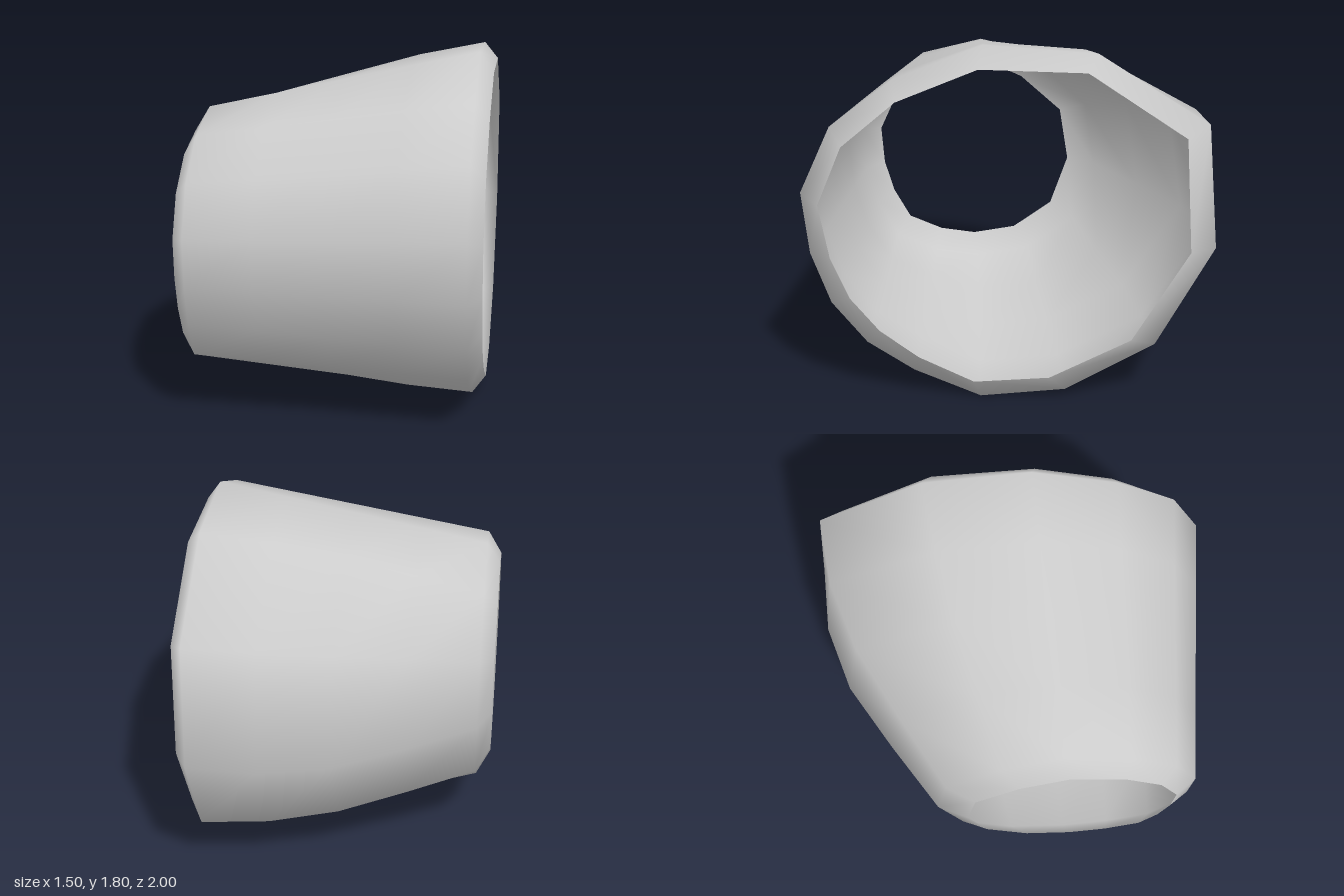
import * as THREE from 'three';

// Cross-sections as [z, y] points, ordered from the top round the front
const wideRim = [[0.14, 1.7], [0.53, 1.54], [0.79, 1.32], [0.91, 1.03], [0.86, 0.76], [0.77, 0.55], [0.63, 0.38],
  [0.44, 0.24], [0.17, 0.11], [-0.2, 0.135], [-0.6, 0.34], [-0.875, 0.8], [-0.84, 1.37], [-0.37, 1.685]];
const wideBody = [[0.12, 1.8], [0.55, 1.63], [0.85, 1.4], [1, 1.07], [0.965, 0.76], [0.87, 0.5], [0.7, 0.29],
  [0.47, 0.14], [0.14, 0], [-0.28, 0.04], [-0.72, 0.29], [-1, 0.8], [-0.95, 1.42], [-0.42, 1.76]];
const narrowRim = [[0.21, 1.38], [0.47, 1.315], [0.66, 1.165], [0.755, 0.96], [0.74, 0.76], [0.69, 0.59], [0.6, 0.43],
  [0.42, 0.355], [0.23, 0.33], [0, 0.37], [-0.21, 0.52], [-0.305, 0.79], [-0.26, 1.075], [-0.04, 1.27]];
const narrowBody = narrowRim.map(([z, y]) => [0.2 + (z - 0.225) * 1.235, 0.86 + (y - 0.855) * 1.22]);

// How far the back of the sleeve swells outward at mid length, per point
const swell = [0, 0, 0, 0, 0, 0, 0, 0, 0.03, 0.04, 0.08, 0.16, 0.14, 0.05];

function bodySection(t, bulge) {
  return narrowBody.map(([z, y], i) => {
    const pz = THREE.MathUtils.lerp(z, wideBody[i][0], t);
    const py = THREE.MathUtils.lerp(y, wideBody[i][1], t);
    const dz = pz - 0.1, dy = py - 0.88, d = Math.hypot(dz, dy);
    return [pz + dz / d * swell[i] * bulge, py + dy / d * swell[i] * bulge];
  });
}

// Skin a row of sections with shared vertices for smooth shading
function loft(sections) {
  const n = sections[0].points.length, positions = [], index = [];
  sections.forEach(({ x, points }) => points.forEach(([z, y]) => positions.push(x, y, z)));
  for (let r = 0; r < sections.length - 1; r++) {
    for (let j = 0; j < n; j++) {
      const a = r * n + j, b = r * n + (j + 1) % n;
      index.push(a, b, a + n, b, b + n, a + n);
    }
  }
  const geometry = new THREE.BufferGeometry();
  geometry.setAttribute('position', new THREE.Float32BufferAttribute(positions, 3));
  geometry.setIndex(index);
  geometry.computeVertexNormals();
  return geometry;
}

export function createModel() {
  const group = new THREE.Group();
  group.name = 'taperedSleeve';
  const grey = new THREE.MeshStandardMaterial({ color: 0xcccccc, side: THREE.DoubleSide });
  grey.name = 'light grey';

  // Open tapered shell with turned-in rims at both ends
  const shell = new THREE.Mesh(loft([
    { x: -0.75, points: narrowRim },
    { x: -0.68, points: narrowBody },
    { x: -0.34, points: bodySection(0.25, 0.55) },
    { x: 0, points: bodySection(0.5, 1) },
    { x: 0.34, points: bodySection(0.75, 0.8) },
    { x: 0.68, points: wideBody },
    { x: 0.75, points: wideRim },
  ]), grey);
  shell.name = 'sleeveShell';
  group.add(shell);
  return group;
}
